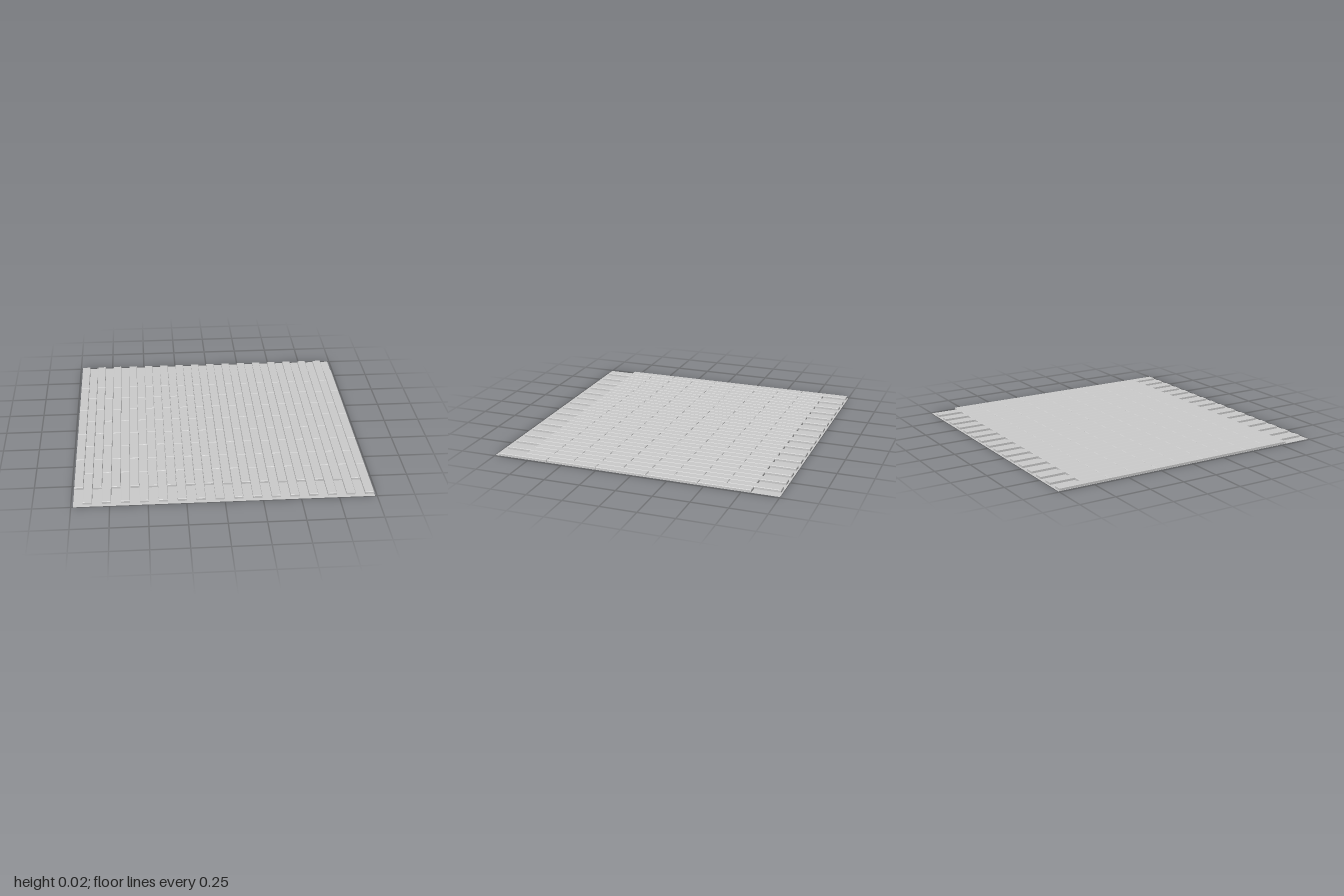
import * as THREE from 'three';

const COLUMNS = 32, PER_COLUMN = 5;
const WIDTH = 1.972, PITCH_X = WIDTH / COLUMNS, PITCH_Z = 0.3575;
const HEIGHT = 0.018, LIFT = 0.0008, GAP = 0.002, BEVEL = 0.003;

// Box with a small chamfer around its top face
function brickGeometry() {
  const w = PITCH_X - GAP, h = HEIGHT - LIFT, l = PITCH_Z - GAP;
  const box = new THREE.BoxGeometry(w, h, l, 1, 2, 1);
  const p = box.attributes.position;
  for (let i = 0; i < p.count; i++) {
    const y = p.getY(i);
    if (y > h * 0.25) {
      p.setX(i, p.getX(i) - Math.sign(p.getX(i)) * BEVEL);
      p.setZ(i, p.getZ(i) - Math.sign(p.getZ(i)) * BEVEL);
    } else if (y > -h * 0.25) {
      p.setY(i, h / 2 - BEVEL);
    }
  }
  const flat = box.toNonIndexed();
  flat.computeVertexNormals();
  return flat;
}

export function createModel() {
  const group = new THREE.Group();
  group.name = 'brickPavement';
  const material = new THREE.MeshStandardMaterial({ color: 0xcccccc, flatShading: true });

  // Thin ground sheet, seen from both sides
  const sheet = new THREE.Mesh(
    new THREE.PlaneGeometry(WIDTH, 2).rotateX(-Math.PI / 2),
    new THREE.MeshStandardMaterial({ color: 0xcccccc, side: THREE.DoubleSide })
  );
  sheet.name = 'baseSheet';
  group.add(sheet);

  // Columns of bricks, every second one shifted forward by half a brick
  const geometry = brickGeometry();
  for (let c = 0; c < COLUMNS; c++) {
    const column = new THREE.Group();
    column.name = 'brickColumn';
    column.position.x = -WIDTH / 2 + (c + 0.5) * PITCH_X;
    const start = c % 2 ? -0.813 : -0.991;
    for (let r = 0; r < PER_COLUMN; r++) {
      const brick = new THREE.Mesh(geometry, material);
      brick.name = 'brick';
      brick.position.set(0, (HEIGHT + LIFT) / 2, start + (r + 0.5) * PITCH_Z);
      column.add(brick);
    }
    group.add(column);
  }
  return group;
}
